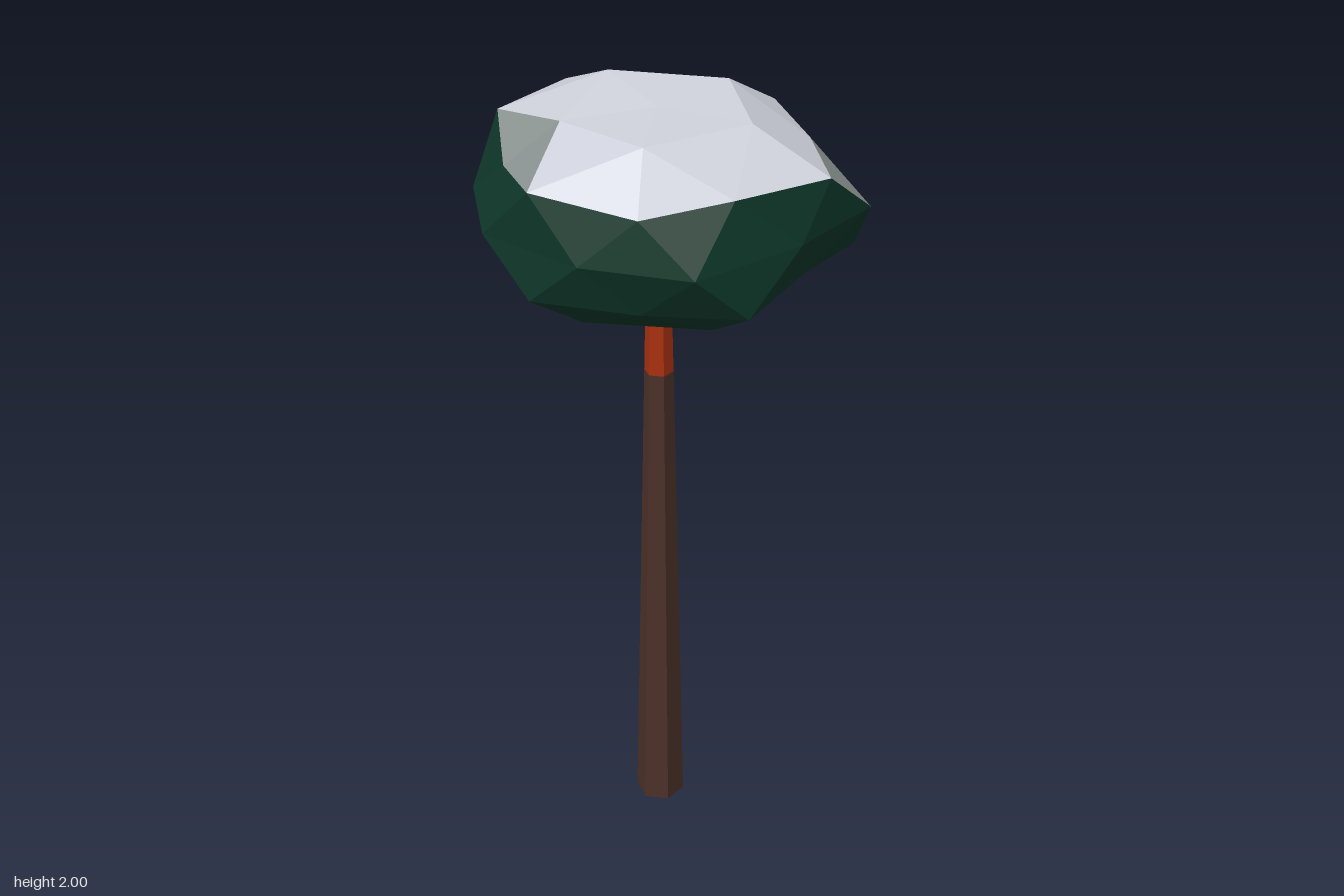
import * as THREE from 'three';

const CX = -0.025; // axis of trunk and crown

const mat = (name, color, extra = {}) => {
  const m = new THREE.MeshStandardMaterial({ color, flatShading: true, ...extra });
  m.name = name;
  return m;
};

// Rings of the faceted crown as [x, y, z], counter-clockwise seen from above
const TOP = [CX, 1.99, 0];
const A = [[0.205, 1.99, 0.005], [0.05, 1.995, -0.22], [-0.22, 2, -0.14], [-0.2, 1.975, 0.135], [0.05, 1.99, 0.23]];
const B = [
  [0.39, 1.895, 0], [0.265, 1.9, -0.19], [0.1, 1.9, -0.38], [-0.145, 1.9, -0.36], [-0.4, 1.91, -0.265],
  [-0.435, 1.92, 0.005], [-0.305, 1.88, 0.21], [-0.15, 1.91, 0.38], [0.1, 1.885, 0.36], [0.255, 1.9, 0.21],
];
const E = [
  [0.435, 1.78, -0.145], [0.195, 1.77, -0.29], [-0.025, 1.78, -0.403], [-0.3, 1.78, -0.37], [-0.42, 1.78, -0.13],
  [-0.43, 1.78, 0.14], [-0.28, 1.78, 0.355], [-0.025, 1.77, 0.4], [0.23, 1.77, 0.355], [0.365, 1.77, 0.09],
];
const L = [
  [0.34, 1.66, 0], [0.37, 1.64, -0.24], [0.09, 1.66, -0.33], [-0.15, 1.67, -0.38], [-0.3, 1.66, -0.21],
  [-0.41, 1.67, 0], [-0.3, 1.66, 0.21], [-0.15, 1.66, 0.39], [0.09, 1.65, 0.33], [0.31, 1.65, 0.25],
];
const D = [[0.18, 1.56, -0.15], [-0.1, 1.59, -0.22], [-0.28, 1.555, 0], [-0.1, 1.55, 0.24], [0.18, 1.55, 0.15]];
const BOTTOM = [CX, 1.54, 0];

function facets(name, tris, material) {
  const g = new THREE.BufferGeometry();
  g.setAttribute('position', new THREE.Float32BufferAttribute(tris.flat(2), 3));
  g.computeVertexNormals();
  const mesh = new THREE.Mesh(g, material);
  mesh.name = name;
  return mesh;
}

function taperedPost(name, y0, y1, r0, r1, material) {
  const g = new THREE.CylinderGeometry(r1, r0, y1 - y0, 6, 1, false, Math.PI / 4);
  const mesh = new THREE.Mesh(g, material);
  mesh.position.set(CX, (y0 + y1) / 2, 0);
  mesh.name = name;
  return mesh;
}

export function createModel() {
  const bark = mat('dark bark', 0x4a3028);
  const red = mat('red bark', 0xa8300f);
  const green = mat('dark green', 0x0e3628);
  const snow = mat('snow', 0xcfd2dc);
  const thin = mat('thin snow', 0x8a9491);

  const snowTris = [], thinTris = [], leafTris = [];

  // Snow cap: the top fan and the band below it
  for (let i = 0; i < 5; i++) {
    const j = (i + 1) % 5, b0 = B[2 * i], b1 = B[2 * i + 1], b2 = B[(2 * i + 2) % 10];
    snowTris.push([TOP, A[i], A[j]], [A[i], b1, A[j]]);
    (i === 3 ? thinTris : snowTris).push([A[i], b0, b1]);
    (i === 2 ? thinTris : snowTris).push([A[j], b1, b2]);
  }

  // Foliage: two zigzag bands around the middle
  for (let i = 0; i < 10; i++) {
    const j = (i + 1) % 10;
    (i === 0 ? thinTris : leafTris).push([B[i], E[i], B[j]]);
    leafTris.push([B[j], E[i], E[j]], [E[i], L[j], E[j]], [E[i], L[i], L[j]]);
  }

  // Underside of the foliage
  for (let i = 0; i < 5; i++) {
    const j = (i + 1) % 5, l1 = L[2 * i + 1], l2 = L[(2 * i + 2) % 10], l3 = L[(2 * i + 3) % 10];
    leafTris.push([l1, D[i], l2], [l2, D[j], l3], [l2, D[i], D[j]], [D[i], BOTTOM, D[j]]);
  }

  const group = new THREE.Group();
  group.name = 'snowyTree';
  group.add(
    taperedPost('trunk', 0, 1.325, 0.065, 0.036, bark),
    taperedPost('upperTrunk', 1.325, 1.58, 0.036, 0.03, red),
    facets('foliage', leafTris, green),
    facets('snowCap', snowTris, snow),
    facets('thinSnow', thinTris, thin),
  );
  return group;
}
